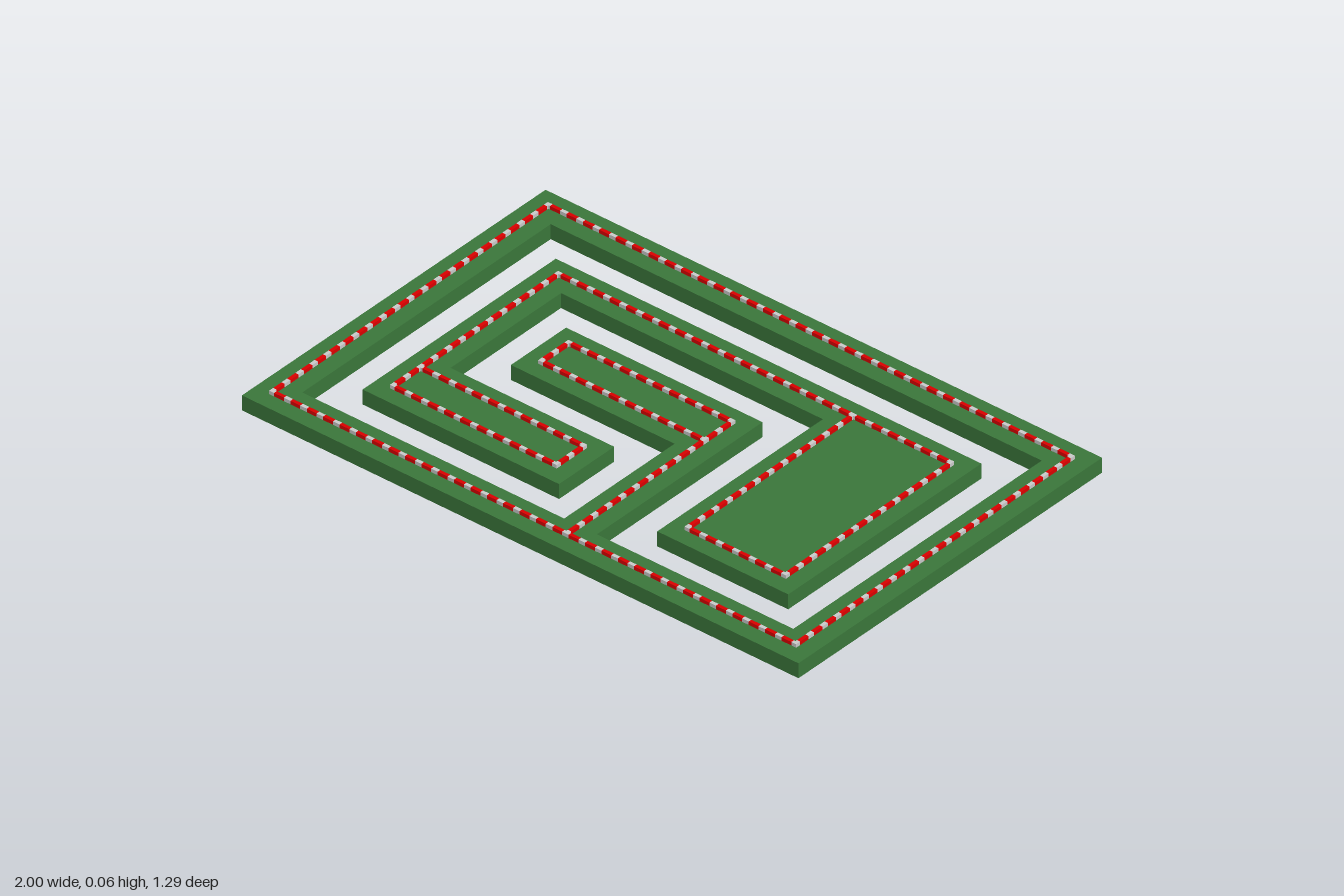
import * as THREE from 'three';
import { mergeGeometries } from 'three/addons/utils/BufferGeometryUtils.js';

const U = 2 / 17;        // one maze cell
const WALL = 0.05;       // wall height
const LINE = 0.0115;     // stripe width and height

const points = (list) => list.map(([x, z]) => new THREE.Vector2(x * U, z * U));

// Extrudes a plan outline (x, z in cells) up from the ground
function wall(name, outline, material, hole) {
  const shape = new THREE.Shape(points(outline));
  if (hole) shape.holes.push(new THREE.Path(points(hole)));
  const geometry = new THREE.ExtrudeGeometry(shape, { depth: WALL, bevelEnabled: false });
  geometry.rotateX(Math.PI / 2).translate(0, WALL, 0);
  const mesh = new THREE.Mesh(geometry, material);
  mesh.name = name;
  return mesh;
}

// Box lying on the wall tops between two points of one straight run
function bar(x0, z0, x1, z1) {
  const alongX = z0 === z1;
  const geometry = new THREE.BoxGeometry(
    alongX ? Math.abs(x1 - x0) : LINE, LINE, alongX ? LINE : Math.abs(z1 - z0));
  return geometry.translate((x0 + x1) / 2, WALL + LINE / 2, (z0 + z1) / 2);
}

// Splits a run into half-cell steps: pale end, red dash, pale end
function dashRun([x0, z0, x1, z1], red, pale) {
  const alongX = z0 === z1;
  const start = (alongX ? x0 : z0) * U;
  const end = (alongX ? x1 : z1) * U;
  const piece = (a, b) => (alongX ? bar(a, z0 * U, b, z0 * U) : bar(x0 * U, a, x0 * U, b));
  const step = U / 2;
  const count = Math.round((end - start) / step);
  for (let i = 0; i < count; i++) {
    const s = start + i * step;
    red.push(piece(s + 0.1 * U, s + 0.4 * U));
  }
  for (let i = 0; i <= count; i++) {
    const s = start + i * step;
    pale.push(piece(s - (i > 0 ? 0.1 * U : LINE / 2), s + (i < count ? 0.1 * U : LINE / 2)));
  }
}

const rectangle = (x0, z0, x1, z1) => [
  [x0, z0, x1, z0], [x0, z1, x1, z1], [x0, z0, x0, z1], [x1, z0, x1, z1],
];

export function createModel() {
  const group = new THREE.Group();
  group.name = 'hedgeMaze';
  const green = new THREE.MeshStandardMaterial({ color: 0x3b773b });
  const redPaint = new THREE.MeshStandardMaterial({ color: 0xdd0000 });
  const grey = new THREE.MeshStandardMaterial({ color: 0xcccccc });

  // Outer ring with the hooked wall growing in from the front
  group.add(wall('outerWall',
    [[-8.5, -5.5], [8.5, -5.5], [8.5, 5.5], [-8.5, 5.5]], green,
    [[-7.5, -4.5], [7.5, -4.5], [7.5, 4.5], [1.5, 4.5], [1.5, -1.5], [-4.5, -1.5],
      [-4.5, 0.5], [0.5, 0.5], [0.5, 4.5], [-7.5, 4.5]]));

  // Free-standing inner wall with its wide block and short foot
  group.add(wall('innerWall',
    [[-6.5, -3.5], [6.5, -3.5], [6.5, 3.5], [2.5, 3.5], [2.5, -2.5], [-5.5, -2.5],
      [-5.5, 1.5], [-0.5, 1.5], [-0.5, 3.5], [-6.5, 3.5]], green));

  // Dashed stripes along the wall tops
  const runs = [
    ...rectangle(-8, -5, 8, 5),
    ...rectangle(-4, -1, 1, 0),
    [1, 0, 1, 5],
    ...rectangle(3, -3, 6, 3),
    [-6, -3, 3, -3],
    [-6, -3, -6, 2],
    ...rectangle(-6, 2, -1, 3),
  ];
  const red = [];
  const pale = [];
  runs.forEach((run) => dashRun(run, red, pale));
  const redDashes = new THREE.Mesh(mergeGeometries(red), redPaint);
  redDashes.name = 'redDashes';
  const paleDashes = new THREE.Mesh(mergeGeometries(pale), grey);
  paleDashes.name = 'paleDashes';
  group.add(redDashes, paleDashes);
  return group;
}
